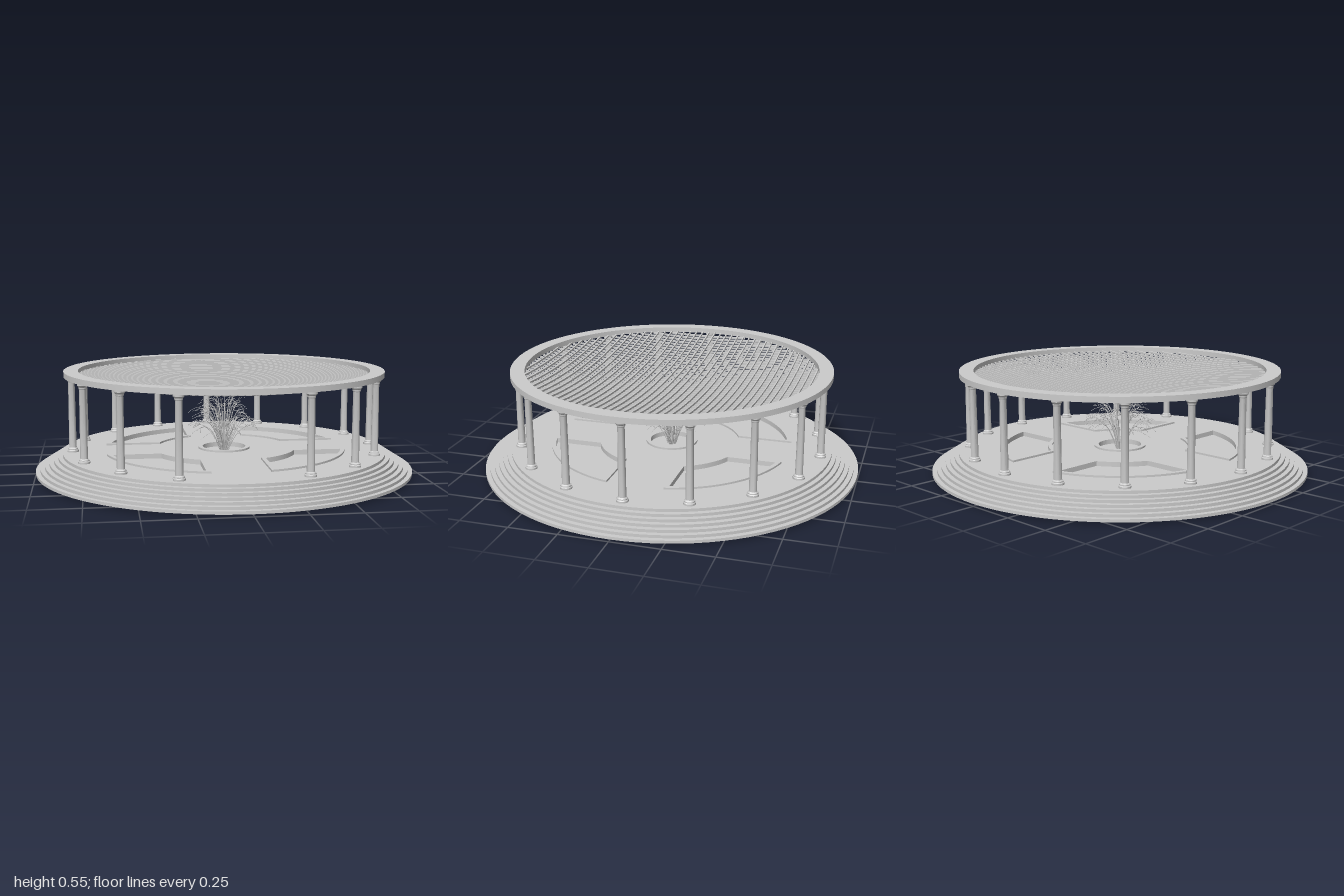
import * as THREE from 'three';
import { mergeGeometries, toCreasedNormals } from 'three/addons/utils/BufferGeometryUtils.js';

const grey = new THREE.MeshStandardMaterial({ color: 0xcccccc });
const greyDouble = new THREE.MeshStandardMaterial({ color: 0xcccccc, side: THREE.DoubleSide });
const greyFacet = new THREE.MeshStandardMaterial({ color: 0xcccccc, side: THREE.DoubleSide, flatShading: true });

const FLOOR = 0.115;
const FILL = 0.1;
const RIM_IN = 0.77;

function seeded(seed) {
  let s = seed;
  return () => (s = (s * 16807) % 2147483647) / 2147483647;
}

function lathe(points, segments) {
  const geo = new THREE.LatheGeometry(points.map(([r, y]) => new THREE.Vector2(r, y)), segments);
  return toCreasedNormals(geo, 0.6);
}

// Square-edged ring, r0 to r1, y0 to y1
const ringGeo = (r0, r1, y0, y1) =>
  lathe([[r0, y0], [r1, y0], [r1, y1], [r0, y1], [r0, y0]], 96);

// Flat outline laid level at height y
const level = (shape, y, segments) =>
  new THREE.ShapeGeometry(shape, segments).rotateX(-Math.PI / 2).translate(0, y, 0);

// Outline of one quadrant flower bed, shrunk by e
function bedOutline(e, Type = THREE.Shape) {
  const R = 0.645 - e, r = 0.365 + e, side = 0.145 + e;
  const a = Math.asin(side / R), b = Math.asin(side / r);
  const shape = new Type();
  shape.absarc(0, 0, R, a, Math.PI / 2 - a, false);
  shape.absarc(0, 0, r, Math.PI / 2 - b, b, true);
  shape.closePath();
  return shape;
}

export function createModel() {
  const model = new THREE.Group();
  const add = (name, geo, mat = grey, parent = model) => {
    const mesh = new THREE.Mesh(geo, mat);
    mesh.name = name;
    parent.add(mesh);
    return mesh;
  };

  // Circular steps, open underneath
  const steps = [], count = 7, y0 = 0.012;
  for (let i = 0; i < count; i++) {
    const r = 1 - i * 0.0235;
    steps.push([r, y0 + ((FLOOR - y0) * i) / count], [r, y0 + ((FLOOR - y0) * (i + 1)) / count]);
  }
  steps.push([0.84, FLOOR]);
  add('steps', lathe(steps, 96), greyDouble);

  // Floor with openings for the beds and the centre planter
  const floor = new THREE.Shape();
  floor.absarc(0, 0, 0.845, 0, Math.PI * 2);
  const centre = new THREE.Path();
  centre.absarc(0, 0, 0.125, 0, Math.PI * 2, true);
  floor.holes.push(centre);
  for (let i = 0; i < 4; i++) {
    const pts = bedOutline(0.01).getPoints(16);
    pts.forEach((p) => p.rotateAround(new THREE.Vector2(), (i * Math.PI) / 2));
    floor.holes.push(new THREE.Path(pts));
  }
  add('floor', level(floor, FLOOR, 48), greyDouble);

  // Flower beds: curb walls, level fill and ragged soil beneath
  const curb = bedOutline(0);
  curb.holes.push(bedOutline(0.022, THREE.Path));
  const curbGeo = new THREE.ExtrudeGeometry(curb, { depth: 0.11, bevelEnabled: false, curveSegments: 16 });
  curbGeo.rotateX(-Math.PI / 2).translate(0, 0.015, 0);
  const fillGeo = level(bedOutline(0.01), FILL, 16);
  for (let i = 0; i < 4; i++) {
    const bed = new THREE.Group();
    bed.name = 'flowerBed';
    bed.rotation.y = (i * Math.PI) / 2;
    model.add(bed);
    add('bedCurb', curbGeo, grey, bed);
    add('bedFill', fillGeo, greyDouble, bed);
    const rnd = seeded(101 + i * 977);
    const soil = new THREE.RingGeometry(0.345, 0.66, 8, 3, 0.24, Math.PI / 2 - 0.48);
    soil.rotateX(-Math.PI / 2);
    const p = soil.attributes.position;
    for (let k = 0; k < p.count; k++) {
      p.setXYZ(k, p.getX(k) + (rnd() - 0.5) * 0.06, k === 12 ? 0 : 0.06 * rnd() ** 1.5,
        p.getZ(k) + (rnd() - 0.5) * 0.06);
    }
    add('bedSoil', soil, greyFacet, bed);
  }

  // Centre planter
  add('planterCurb', ringGeo(0.115, 0.138, 0.015, 0.125));
  add('planterFill', new THREE.CircleGeometry(0.125, 48).rotateX(-Math.PI / 2).translate(0, FILL, 0), greyDouble);
  const soil = new THREE.CircleGeometry(0.145, 14).rotateX(-Math.PI / 2);
  const sp = soil.attributes.position, srnd = seeded(55);
  for (let k = 0; k < sp.count - 1; k++) sp.setY(k, k === 0 ? 0.005 : srnd() * 0.03);
  sp.setY(sp.count - 1, sp.getY(1));
  add('planterSoil', soil, greyFacet);

  // Columns all round, leaving the front open as the entrance
  const columnGeo = lathe([
    [0, FLOOR], [0.03, FLOOR], [0.03, 0.124], [0.026, 0.128], [0.026, 0.133], [0.0195, 0.139],
    [0.017, 0.485], [0.02, 0.49], [0.02, 0.496], [0.027, 0.505], [0.027, 0.518], [0, 0.518],
  ], 16);
  for (let i = 1; i < 16; i++) {
    const a = (i * Math.PI) / 8;
    add('column', columnGeo).position.set(Math.sin(a) * 0.805, 0, Math.cos(a) * 0.805);
  }

  // Rim beam
  add('rimBeam', ringGeo(RIM_IN, 0.845, 0.517, 0.545));

  // Sagging lattice roof: bars bent onto a shallow dish, one layer under the other
  const dish = (x, z) => 0.446 + 0.07 * ((x * x + z * z) / (RIM_IN * RIM_IN));
  const bars = [], pitch = 0.037;
  for (let i = -20; i <= 20; i++) {
    const off = i * pitch;
    const len = 2 * Math.sqrt(0.775 ** 2 - off ** 2);
    for (const across of [false, true]) {
      const bar = new THREE.BoxGeometry(len, 0.01, 0.007, Math.max(4, Math.round(len * 14)), 1, 1);
      bar.translate(0, across ? -0.005 : 0.003, off);
      if (across) bar.rotateY(Math.PI / 2);
      const p = bar.attributes.position;
      for (let k = 0; k < p.count; k++) p.setY(k, p.getY(k) + dish(p.getX(k), p.getZ(k)));
      bars.push(bar);
    }
  }
  add('latticeRoof', toCreasedNormals(mergeGeometries(bars), 0.5));

  // Airy plant: arching stems with drooping side twigs
  const rnd = seeded(4242), stems = [];
  const twig = (a, b, c, r) =>
    stems.push(new THREE.TubeGeometry(new THREE.QuadraticBezierCurve3(a, b, c), 8, r, 4));
  const total = 44;
  for (let i = 0; i < total; i++) {
    const a = i * 2.39996 + rnd() * 0.4;
    const t = Math.sqrt((i + 0.5) / total);
    const reach = 0.02 + 0.16 * t * (0.75 + 0.4 * rnd());
    const top = 0.43 - 0.19 * t * t - 0.05 * rnd();
    const at = (r, y, da = 0) => new THREE.Vector3(Math.cos(a + da) * r, y, Math.sin(a + da) * r);
    const root = at(0.01 + 0.012 * t, FILL);
    const bend = at(reach * 0.5, top + 0.07 * t);
    const tip = at(reach, top);
    twig(root, bend, tip, 0.0019);
    const curve = new THREE.QuadraticBezierCurve3(root, bend, tip);
    for (let k = 0; k < 3; k++) {
      const start = curve.getPoint(0.55 + 0.15 * k);
      const da = (rnd() - 0.5) * 1.2;
      const r = Math.min(0.2, reach * (0.85 + 0.3 * rnd()) + 0.02);
      const end = at(r, start.y + 0.03 - 0.08 * t * rnd(), da);
      const mid = start.clone().lerp(end, 0.5);
      mid.y += 0.025;
      twig(start, mid, end, 0.001);
    }
  }
  add('plant', mergeGeometries(stems));

  return model;
}
